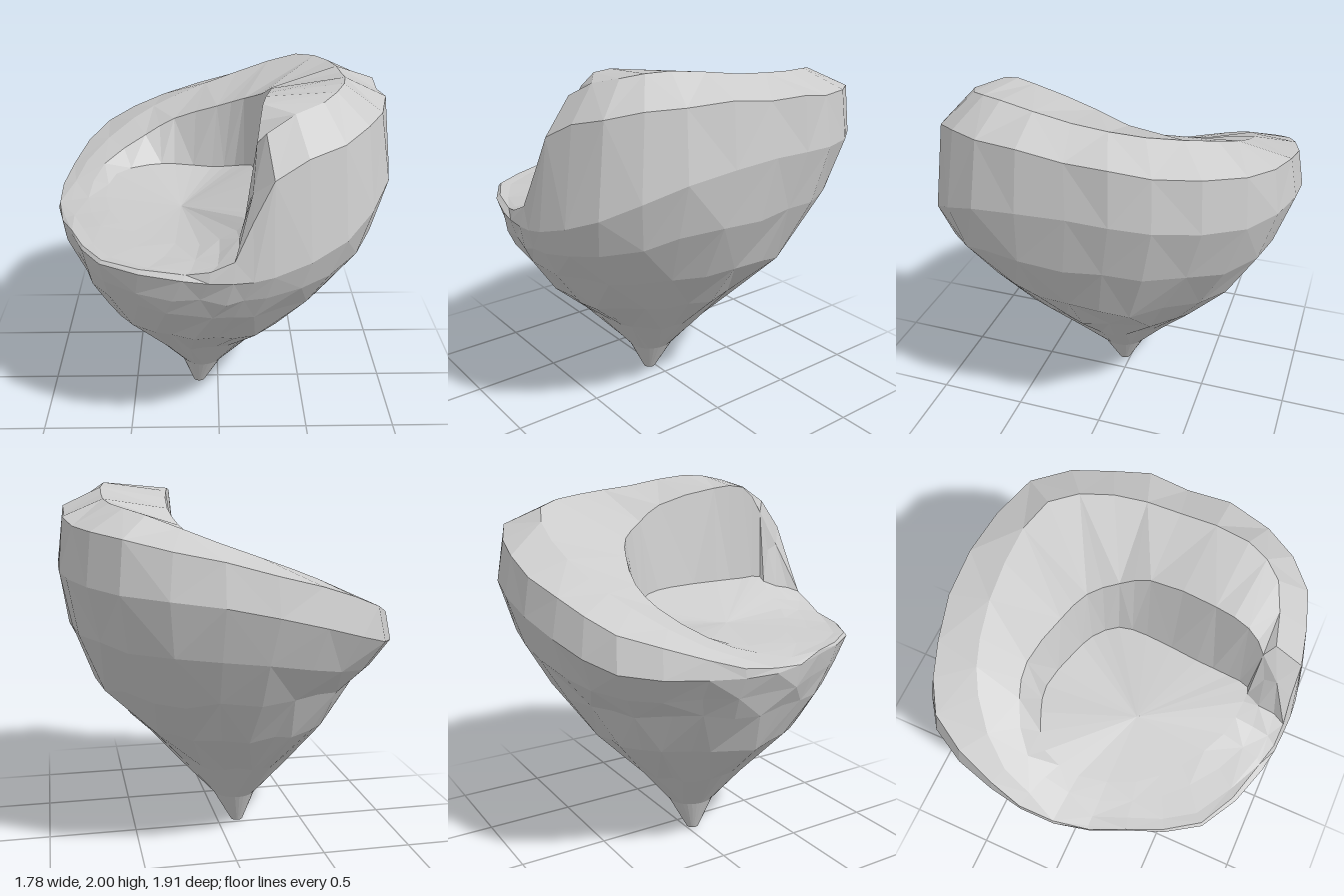
import * as THREE from 'three';

const COLS = 30; // facets around the body
const V = (x, y, z) => new THREE.Vector3(x, y, z);

// Small seeded noise for the chipped facets
let seed = 7;
function noise() {
  seed = (seed * 16807) % 2147483647;
  return seed / 2147483647 - 0.5;
}
const chip = (ring, a) => ring.map(p => V(p.x + noise() * a, p.y + noise() * a, p.z + noise() * a));

// Closed smooth loop through a few control points, sampled once per facet
function loop(points) {
  const curve = new THREE.CatmullRomCurve3(points.map(p => V(...p)), true);
  return Array.from({ length: COLS }, (_, i) => curve.getPoint(i / COLS));
}

// Control loops run anticlockwise from the front of the high end of the ridge
const widest = loop([
  [0.25, 1.23, 0.945], [0.6, 1.36, 0.83], [0.84, 1.53, 0.5], [0.885, 1.58, 0], [0.85, 1.56, -0.4],
  [0.62, 1.53, -0.79], [0.15, 1.48, -0.95], [-0.35, 1.36, -0.91], [-0.7, 1.25, -0.75], [-0.86, 1.2, -0.35],
  [-0.89, 1.18, 0.03], [-0.77, 1.19, 0.39], [-0.59, 1.2, 0.74], [-0.18, 1.2, 0.92], [0.06, 1.2, 0.95]]);
const crest = loop([
  [0.21, 1.86, 0.73], [0.48, 1.97, 0.62], [0.6, 2, 0.42], [0.64, 1.95, 0.05], [0.62, 1.92, -0.3],
  [0.47, 1.88, -0.6], [0.13, 1.75, -0.69], [-0.25, 1.61, -0.66], [-0.5, 1.5, -0.56], [-0.76, 1.33, -0.3],
  [-0.82, 1.22, 0.03], [-0.71, 1.21, 0.37], [-0.54, 1.21, 0.69], [-0.14, 1.23, 0.87], [0.09, 1.33, 0.86]]);
const wallTop = loop([
  [0.17, 1.8, 0.69], [0.2, 1.95, 0.58], [0.24, 1.95, 0.4], [0.28, 1.87, 0.05], [0.24, 1.79, -0.1],
  [0.15, 1.72, -0.24], [0, 1.65, -0.32], [-0.25, 1.55, -0.4], [-0.42, 1.46, -0.37], [-0.65, 1.34, -0.22],
  [-0.72, 1.24, 0.04], [-0.62, 1.22, 0.36], [-0.42, 1.22, 0.6], [-0.12, 1.24, 0.78], [0.09, 1.35, 0.77]]);
const wallFoot = loop([
  [0.14, 1.41, 0.68], [0.16, 1.41, 0.56], [0.17, 1.41, 0.38], [0.2, 1.4, 0.08], [0.19, 1.38, -0.08],
  [0.1, 1.33, -0.2], [-0.03, 1.3, -0.26], [-0.25, 1.3, -0.31], [-0.4, 1.31, -0.27], [-0.58, 1.3, -0.16],
  [-0.62, 1.25, 0.05], [-0.52, 1.23, 0.34], [-0.34, 1.23, 0.52], [-0.1, 1.26, 0.66], [0.08, 1.35, 0.69]]);

// Level oval: points are evenly spaced at align 0, and follow the widest loop at align 1
function oval(y, x0, x1, z0, z1, align) {
  return widest.map((w, i) => {
    const even = 1.3 - i * Math.PI * 2 / COLS;
    const offset = Math.atan2(w.z / 0.95, w.x / 0.88) - even;
    const a = even + align * Math.atan2(Math.sin(offset), Math.cos(offset));
    return V((x0 + x1) / 2 + Math.cos(a) * (x1 - x0) / 2, y, (z0 + z1) / 2 + Math.sin(a) * (z1 - z0) / 2);
  });
}

// Flat-shaded skin over a stack of loops, with alternating diagonals
function skin(name, rings, material) {
  const pos = [];
  const tri = (...ps) => ps.forEach(p => pos.push(p.x, p.y, p.z));
  for (let r = 0; r < rings.length - 1; r++) {
    for (let i = 0; i < COLS; i++) {
      const j = (i + 1) % COLS;
      const a = rings[r][i], b = rings[r][j], c = rings[r + 1][j], d = rings[r + 1][i];
      if ((r + i) % 2) { tri(a, b, c); tri(a, c, d); }
      else { tri(a, b, d); tri(b, c, d); }
    }
  }
  const geo = new THREE.BufferGeometry();
  geo.setAttribute('position', new THREE.Float32BufferAttribute(pos, 3));
  geo.computeVertexNormals();
  const mesh = new THREE.Mesh(geo, material);
  mesh.name = name;
  return mesh;
}

export function createModel() {
  seed = 7;
  const group = new THREE.Group();
  group.name = 'curledTaperedBody';
  const material = new THREE.MeshStandardMaterial({ color: 0xcccccc, flatShading: true, side: THREE.DoubleSide });

  // Tapered base: ovals growing from the pointed tip to the widest loop
  const upper = oval(0.95, -0.78, 0.71, -0.73, 0.84, 0.7);
  const flank = upper.map((p, i) => {
    const q = p.clone().lerp(widest[i], 0.5);
    const bulge = 1 + 0.12 * (widest[i].y - 1.08);
    return V(q.x * bulge, q.y, q.z * bulge);
  });
  const tip = Array(COLS).fill(V(-0.115, 0, 0.035));
  const base = skin('taperedBase', [
    tip,
    oval(0.01, -0.15, -0.08, 0, 0.07, 0),
    oval(0.2, -0.22, 0.03, -0.1, 0.17, 0),
    chip(oval(0.45, -0.43, 0.24, -0.31, 0.39, 0), 0.03),
    chip(oval(0.7, -0.67, 0.5, -0.55, 0.65, 0.3), 0.04),
    chip(upper, 0.04),
    chip(flank, 0.03),
    widest], material);

  // Curled ridge: over the shoulder and crest, then down the inner wall
  const shoulder = widest.map((w, i) => {
    const t = crest[i];
    const inset = 0.14 + 0.2 * Math.max(0, w.z);
    return V(w.x + (t.x - w.x) * inset, w.y + (t.y - w.y) * 0.74, w.z + (t.z - w.z) * inset);
  });
  const ridge = skin('curledRidge', [widest, chip(shoulder, 0.02), crest, wallTop, wallFoot], material);

  // Basin: hollow floor enclosed by the ridge
  const floor = skin('basinFloor', [wallFoot, Array(COLS).fill(V(-0.2, 1.26, 0.2))], material);

  group.add(base, ridge, floor);
  return group;
}
